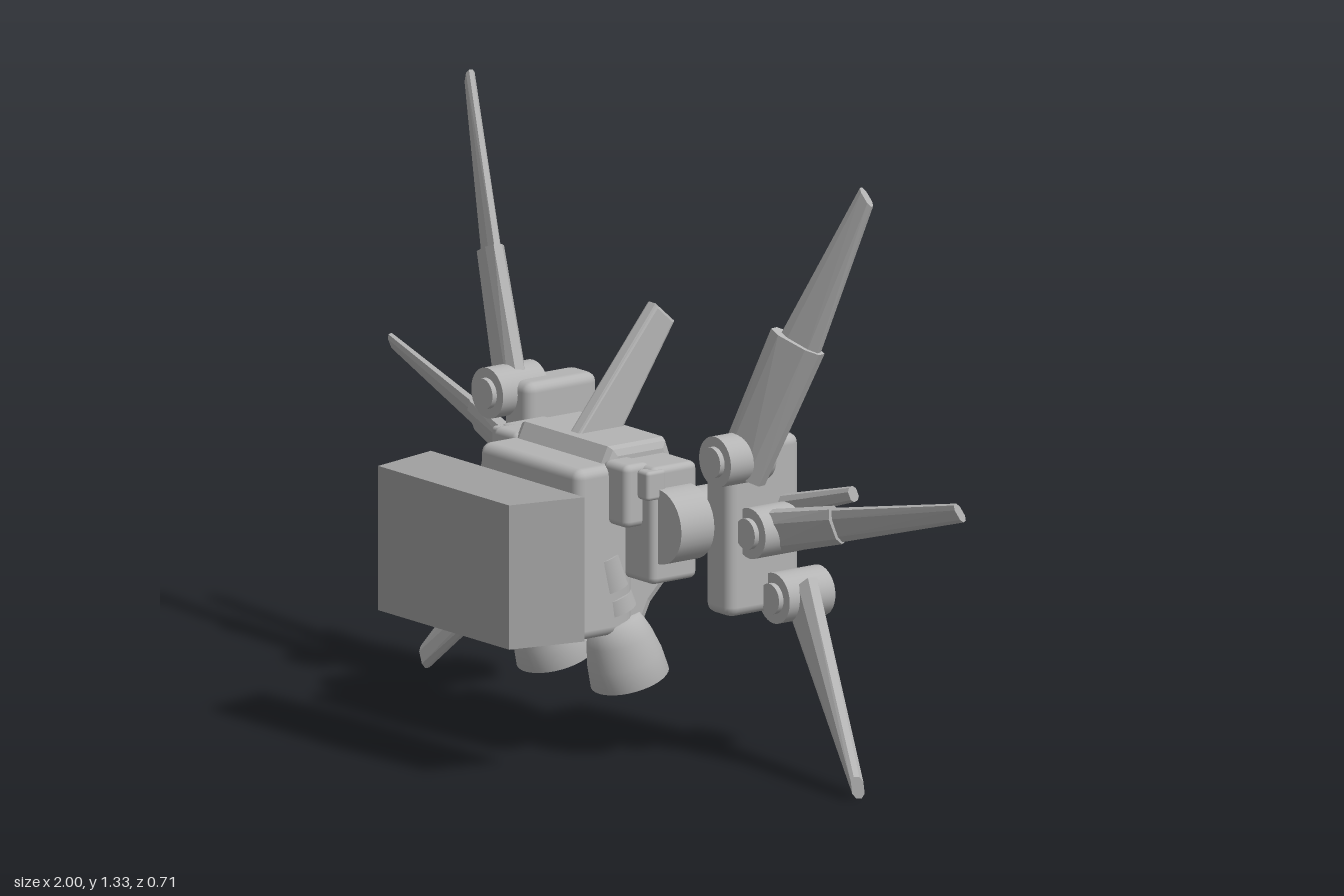
import * as THREE from 'three';
import { RoundedBoxGeometry } from 'three/addons/geometries/RoundedBoxGeometry.js';
import { ConvexGeometry } from 'three/addons/geometries/ConvexGeometry.js';

export function createModel() {
  const model = new THREE.Group();
  const grey = new THREE.MeshStandardMaterial({ color: 0xb4b4b4 });
  grey.name = 'light grey';
  const dark = new THREE.MeshStandardMaterial({ color: 0xa0a0a0 });
  dark.name = 'block grey';
  const lining = new THREE.MeshStandardMaterial({ color: 0xb4b4b4, side: THREE.DoubleSide });
  lining.name = 'nozzle grey';

  const add = (name, geometry, material = grey, parent = model) => {
    const mesh = new THREE.Mesh(geometry, material);
    mesh.name = name;
    parent.add(mesh);
    return mesh;
  };

  // Rounded box given by its limits on each axis
  const box = (name, [x0, x1], [y0, y1], [z0, z1], r = 0.015) => {
    const w = Math.abs(x1 - x0), h = y1 - y0, d = z1 - z0;
    const mesh = add(name, new RoundedBoxGeometry(w, h, d, 2, r));
    mesh.position.set((x0 + x1) / 2, (y0 + y1) / 2, (z0 + z1) / 2);
    return mesh;
  };

  // Cylinder lying along z
  const drum = (name, x, y, z0, z1, r) => {
    const g = new THREE.CylinderGeometry(r, r, z1 - z0, 32).rotateX(Math.PI / 2);
    add(name, g).position.set(x, y, (z0 + z1) / 2);
  };

  // Bevelled tapering panel between two chords, each given by its two edge points
  const panel = (name, s, [a0, b0, t0], [a1, b1, t1]) => {
    const V = (p) => new THREE.Vector3(p[0] * s, p[1], p[2]);
    const mid = (p, q) => V(p).add(V(q)).multiplyScalar(0.5);
    const span = mid(a1, b1).sub(mid(a0, b0));
    const normal = V(b0).sub(V(a0)).cross(span).normalize();
    const points = [];
    for (const [a, b, t] of [[a0, b0, t0], [a1, b1, t1]]) {
      for (const [k, h] of [[0, 0.22], [0.22, 0.5], [0.78, 0.5], [1, 0.22]]) {
        for (const side of [-1, 1]) {
          points.push(V(a).lerp(V(b), k).addScaledVector(normal, side * h * t));
        }
      }
    }
    add(name, new ConvexGeometry(points));
  };

  // Side profile in (z, y), extruded across x and centred
  const sideSlab = (name, pts, width, bevel) => {
    const shape = new THREE.Shape(pts.map(([z, y]) => new THREE.Vector2(-z, y)));
    const depth = width - 2 * bevel;
    const g = new THREE.ExtrudeGeometry(shape, {
      depth, bevelEnabled: true, bevelThickness: bevel, bevelSize: bevel, bevelOffset: -bevel, bevelSegments: 2,
    });
    add(name, g.translate(0, 0, -depth / 2).rotateY(Math.PI / 2));
  };

  // Front block, narrower toward the front
  const plan = new THREE.Shape([[-0.27, 0.18], [0.27, 0.18], [0.23, 0.355], [-0.23, 0.355]]
    .map((p) => new THREE.Vector2(...p)));
  add('frontBlock', new THREE.ExtrudeGeometry(plan, { depth: 0.32, bevelEnabled: false })
    .rotateX(Math.PI / 2).translate(0, 0.635, 0), dark);

  // Central body
  box('chestPlate', [-0.175, 0.175], [0.285, 0.665], [-0.03, 0.125], 0.022);
  sideSlab('mainBody', [[0.04, 0.3], [-0.07, 0.3], [-0.09, 0.34], [-0.15, 0.4], [-0.155, 0.63],
    [-0.13, 0.7], [0.02, 0.7], [0.04, 0.66]], 0.33, 0.02);
  sideSlab('centreFin', [[0.005, 0.69], [-0.215, 0.957], [-0.265, 0.912], [-0.12, 0.69]], 0.036, 0.007);

  // Rear hub with studs to either side
  drum('rearHub', 0, 0.55, -0.2, -0.14, 0.075);
  drum('rearHubCap', 0, 0.55, -0.207, -0.19, 0.055);
  for (const s of [-1, 1]) {
    for (let i = -4; i <= 4; i++) {
      const a = i * 0.16;
      drum('hubStud', s * 0.105 * Math.cos(a), 0.55 + 0.105 * Math.sin(a), -0.158, -0.15, 0.005);
    }
  }

  for (const s of [-1, 1]) {
    // Shoulder and its swivel joint
    box('shoulder', [s * 0.15, s * 0.27], [0.41, 0.67], [-0.13, -0.005]);
    box('shoulderFront', [s * 0.15, s * 0.235], [0.535, 0.675], [-0.03, 0.04]);
    box('shoulderLug', [s * 0.235, s * 0.275], [0.6, 0.665], [-0.04, 0.012], 0.008);
    drum('swivelRim', s * 0.27, 0.54, -0.11, -0.02, 0.083);
    drum('swivel', s * 0.25, 0.54, -0.24, -0.02, 0.066);

    // Upright wing mount with three pivots
    box('wingMount', [s * 0.308, s * 0.4], [0.345, 0.73], [-0.31, -0.115], 0.022);
    for (const [x, y, z0, z1] of [[0.4, 0.7, -0.2, -0.075], [0.425, 0.535, -0.275, -0.15], [0.42, 0.38, -0.345, -0.22]]) {
      drum('wingPivot', s * x, y, z0, z1, 0.056);
      drum('wingPivotCap', s * x, y, z0 - 0.01, z1 + 0.012, 0.034);
    }

    // Upper wing
    panel('upperWingInner', s,
      [[0.345, 0.69, -0.135], [0.455, 0.645, -0.16], 0.05],
      [[0.485, 1.0, -0.17], [0.595, 0.955, -0.215], 0.045]);
    panel('upperWingOuter', s,
      [[0.485, 0.96, -0.175], [0.578, 0.93, -0.21], 0.03],
      [[0.685, 1.337, -0.252], [0.709, 1.298, -0.264], 0.02]);

    // Middle wing
    panel('middleWingInner', s,
      [[0.43, 0.58, -0.185], [0.43, 0.485, -0.215], 0.045],
      [[0.63, 0.622, -0.215], [0.63, 0.54, -0.25], 0.042]);
    panel('middleWingOuter', s,
      [[0.6, 0.612, -0.215], [0.6, 0.535, -0.245], 0.028],
      [[0.992, 0.69, -0.27], [0.998, 0.65, -0.292], 0.018]);
    panel('winglet', s,
      [[0.4, 0.6, -0.26], [0.4, 0.55, -0.27], 0.035],
      [[0.62, 0.657, -0.275], [0.625, 0.625, -0.285], 0.025]);

    // Lower wing
    panel('lowerWing', s,
      [[0.485, 0.43, -0.275], [0.405, 0.34, -0.285], 0.05],
      [[0.762, 0.055, -0.18], [0.758, 0.005, -0.19], 0.03]);

    // Tilted thruster: bell, collar and feed cylinder
    const thruster = new THREE.Group();
    thruster.name = 'thruster';
    thruster.position.set(s * 0.13, 0.175, -0.052);
    thruster.rotation.x = 0.294;
    model.add(thruster);
    const bell = [[0.001, 0.1], [0.045, 0.09], [0.07, 0.04], [0.08, 0], [0.087, 0], [0.083, 0.05],
      [0.072, 0.1], [0.056, 0.145], [0.001, 0.15]].map((p) => new THREE.Vector2(...p));
    add('thrusterBell', new THREE.LatheGeometry(bell, 36), lining, thruster);
    for (const [r, y, h] of [[0.04, 0.155, 0.04], [0.054, 0.185, 0.035], [0.042, 0.215, 0.04], [0.052, 0.26, 0.075]]) {
      add('thrusterCollar', new THREE.CylinderGeometry(r * 0.95, r, h, 28), grey, thruster).position.y = y;
    }
  }
  return model;
}
